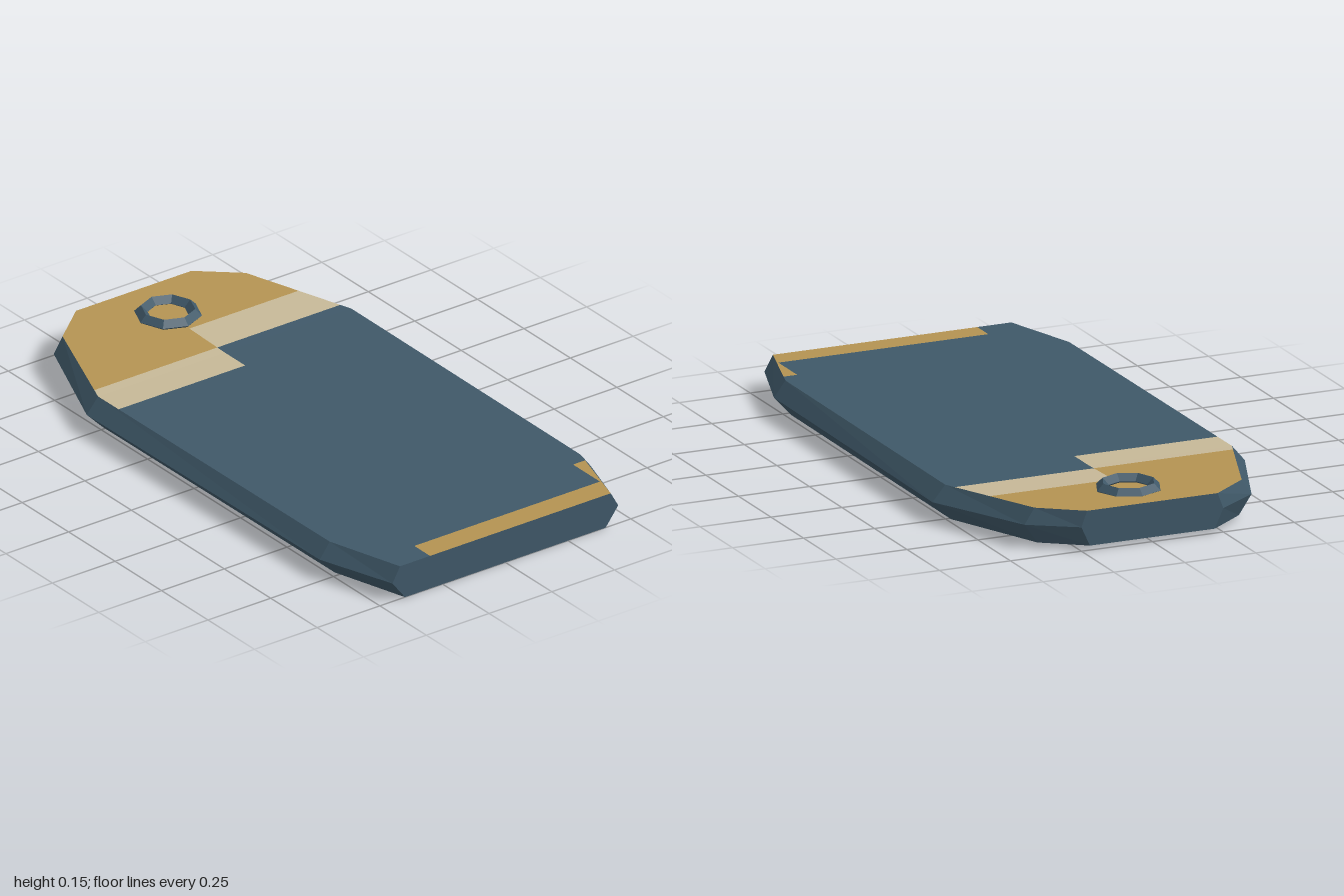
import * as THREE from 'three';

const mat = (name, color) => {
  const m = new THREE.MeshStandardMaterial({ color });
  m.name = name;
  return m;
};

// Cross-sections: z, half widths at bottom / middle / top, lift
const sections = [
  [-1, 0.22, 0.25, 0.23, 0.015],
  [-0.89, 0.355, 0.40, 0.365, 0.012],
  [-0.51, 0.485, 0.55, 0.505, 0],
  [0.73, 0.48, 0.54, 0.50, 0],
  [1, 0.40, 0.45, 0.42, 0],
];
const HEIGHTS = [0, 0.065, 0.118];

// Half width and height of the top face at a given z
function topAt(z) {
  let i = 0;
  while (i < sections.length - 2 && z > sections[i + 1][0]) i++;
  const a = sections[i], b = sections[i + 1];
  const t = (z - a[0]) / (b[0] - a[0]);
  return { w: a[3] + (b[3] - a[3]) * t, y: HEIGHTS[2] + a[4] + (b[4] - a[4]) * t };
}

// Flat-shaded geometry from quads, corners counter-clockwise from outside
function quadGeometry(quads) {
  const p = [];
  for (const [a, b, c, d] of quads) p.push(...a, ...b, ...c, ...a, ...c, ...d);
  const g = new THREE.BufferGeometry();
  g.setAttribute('position', new THREE.Float32BufferAttribute(p, 3));
  g.computeVertexNormals();
  return g;
}

// Bevelled sides, ends and underside (open on top)
function shellGeometry() {
  const loops = sections.map(([z, b, m, t, lift]) => [
    [-t, HEIGHTS[2] + lift, z], [-m, HEIGHTS[1] + lift, z], [-b, lift, z],
    [b, lift, z], [m, HEIGHTS[1] + lift, z], [t, HEIGHTS[2] + lift, z],
  ]);
  const quads = [];
  for (let i = 0; i < loops.length - 1; i++) {
    for (let j = 0; j < 5; j++) {
      quads.push([loops[i][j], loops[i][j + 1], loops[i + 1][j + 1], loops[i + 1][j]]);
    }
  }
  const f = loops[loops.length - 1], k = loops[0];
  quads.push([f[0], f[1], f[4], f[5]], [f[1], f[2], f[3], f[4]]);
  quads.push([k[5], k[4], k[1], k[0]], [k[4], k[3], k[2], k[1]]);
  return quadGeometry(quads);
}

// Part of the top face between two z and two x limits, clipped to the outline
function patchGeometry(z0, z1, x0, x1) {
  const zs = [z0, ...sections.map((s) => s[0]).filter((z) => z > z0 && z < z1), z1];
  const point = (x, z) => {
    const { w, y } = topAt(z);
    return [THREE.MathUtils.clamp(x, -w, w), y, z];
  };
  const quads = [];
  for (let i = 0; i < zs.length - 1; i++) {
    quads.push([point(x0, zs[i]), point(x0, zs[i + 1]), point(x1, zs[i + 1]), point(x1, zs[i])]);
  }
  return quadGeometry(quads);
}

export function createModel() {
  const slate = mat('slate blue', 0x3f5868);
  const tan = mat('tan', 0xb49352);
  const cream = mat('cream', 0xc6b897);
  const model = new THREE.Group();
  model.name = 'tag';
  const add = (name, geometry, material) => {
    const mesh = new THREE.Mesh(geometry, material);
    mesh.name = name;
    model.add(mesh);
    return mesh;
  };

  add('tagBody', shellGeometry(), slate);

  // Top face divided into painted areas
  const patches = [
    ['headPaint', tan, -1, -0.7, -1, 1],
    ['headPaintStep', tan, -0.7, -0.55, -1, 0],
    ['bandLeft', cream, -0.7, -0.55, 0, 1],
    ['bandRight', cream, -0.55, -0.4, -1, 0],
    ['faceStep', slate, -0.55, -0.4, 0, 1],
    ['face', slate, -0.4, 0.77, -1, 1],
    ['faceLower', slate, 0.77, 0.915, -1, 0.44],
    ['cornerPaint', tan, 0.77, 0.915, 0.44, 1],
    ['faceCorner', slate, 0.915, 1, -1, -0.3],
    ['endStripe', tan, 0.915, 1, -0.3, 1],
  ];
  for (const [name, material, ...limits] of patches) add(name, patchGeometry(...limits), material);

  // Eight-sided eyelet with a diamond section
  const ring = new THREE.TorusGeometry(0.088, 0.022, 4, 8).rotateX(-Math.PI / 2).toNonIndexed();
  ring.computeVertexNormals();
  add('eyelet', ring, slate).position.set(0, 0.131, -0.815);

  return model;
}
